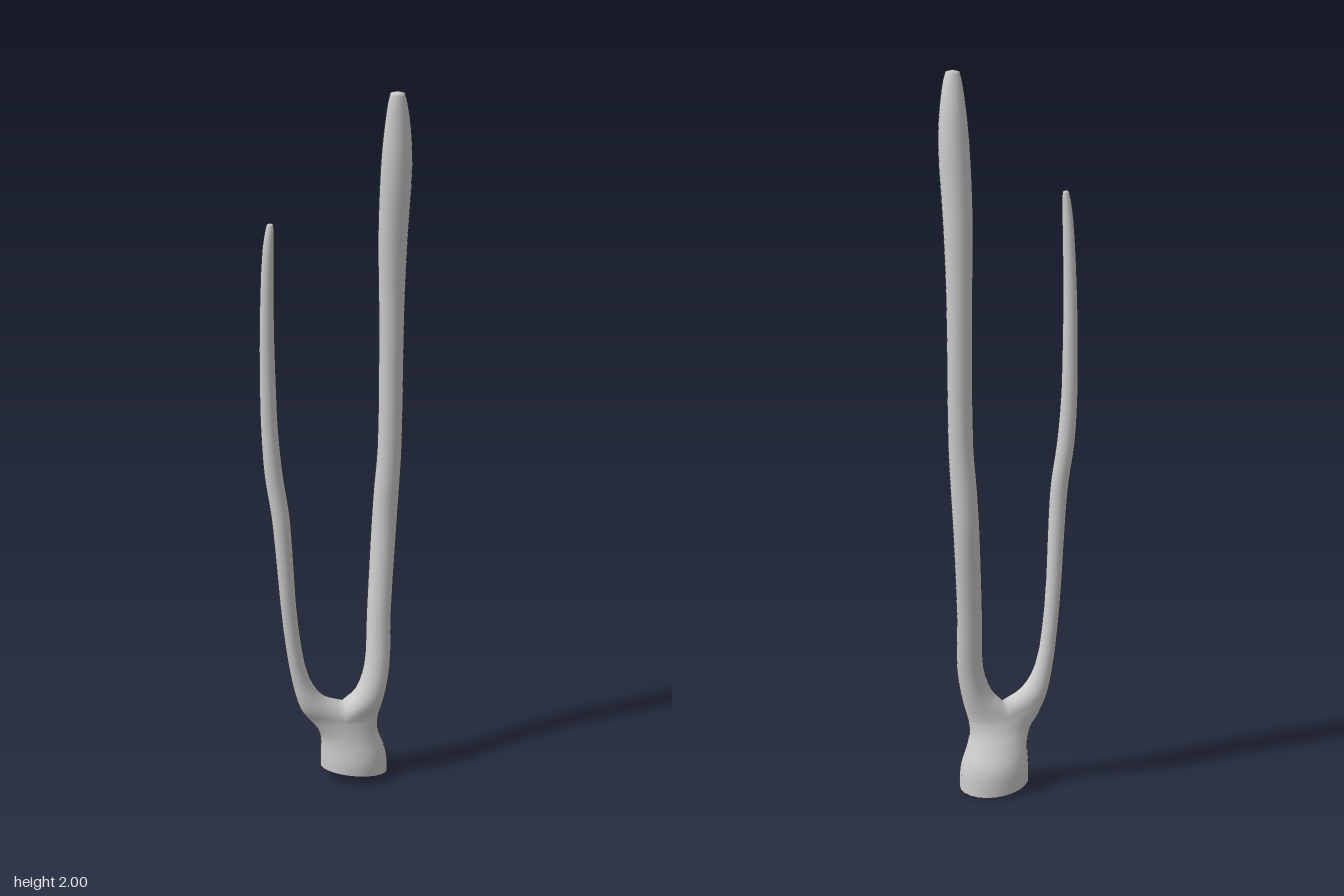
import * as THREE from 'three';
import { mergeVertices } from 'three/addons/utils/BufferGeometryUtils.js';

const SIDES = 24, STEPS = 3;
const DIR = [0.74, -0.67]; // horizontal fork direction (x, z), towards the long prong
const SPLIT = { y: 0.2, x: 0.005, z: -0.012, a: 0.106, b: 0.047, rise: 0.045 };

// Oval ring in the fork's own axes; flip = -1 turns it to face the short prong
function ring(y, x, z, a, b, flip = 1, tilt = () => 0) {
  return Array.from({ length: SIDES }, (_, j) => {
    const t = -Math.PI / 2 + (j / SIDES) * Math.PI * 2;
    const u = flip * a * Math.cos(t), v = flip * b * Math.sin(t);
    const px = x + DIR[0] * u - DIR[1] * v, pz = z + DIR[1] * u + DIR[0] * v;
    return new THREE.Vector3(px, y + tilt(pz, a * Math.cos(t)), pz);
  });
}

// Root of a prong: outer half of the trunk's top ring plus an arch over the crotch
function rootRing(flip) {
  const pts = ring(SPLIT.y, SPLIT.x, SPLIT.z, SPLIT.a, SPLIT.b, flip);
  for (let j = SIDES / 2 + 1; j < SIDES; j++) {
    const u = ((j - SIDES / 2) / SIDES) * Math.PI * 2;
    const v = flip * SPLIT.b * Math.cos(u);
    pts[j].set(SPLIT.x - DIR[1] * v, SPLIT.y + SPLIT.rise * Math.sin(u), SPLIT.z + DIR[0] * v);
  }
  return pts;
}

// Smooth loft through rings; appends triangles, returns the index range
function loft(rings, pos, idx, capped) {
  const start = idx.length, base = pos.length / 3;
  const rows = (rings.length - 1) * STEPS;
  const columns = rings[0].map((_, j) => new THREE.CatmullRomCurve3(rings.map((r) => r[j])));
  for (let i = 0; i <= rows; i++) {
    for (const c of columns) pos.push(...c.getPoint(i / rows).toArray());
  }
  for (let i = 0; i < rows; i++) {
    for (let j = 0; j < SIDES; j++) {
      const a = base + i * SIDES + j, b = base + i * SIDES + ((j + 1) % SIDES);
      idx.push(a, a + SIDES, b, b, a + SIDES, b + SIDES);
    }
  }
  if (capped) {
    const centre = new THREE.Vector3(), top = base + rows * SIDES;
    rings[rings.length - 1].forEach((p) => centre.addScaledVector(p, 1 / SIDES));
    const tip = pos.length / 3;
    pos.push(centre.x, centre.y + 0.004, centre.z);
    for (let j = 0; j < SIDES; j++) idx.push(top + j, tip, top + ((j + 1) % SIDES));
  }
  return [start, idx.length];
}

// Prong stations: y, x, z, radius, lean of the ring
const LONG = [
  [0.265, 0.066, -0.058, 0.042, 0.4], [0.35, 0.078, -0.079, 0.038, 0.1],
  [0.5, 0.068, -0.105, 0.036, 0], [0.75, 0.059, -0.145, 0.037, 0],
  [0.87, 0.064, -0.15, 0.037, 0], [1.0, 0.072, -0.152, 0.035, 0],
  [1.4, 0.075, -0.151, 0.036, 0], [1.6, 0.082, -0.142, 0.041, 0],
  [1.8, 0.098, -0.13, 0.043, 0], [1.9, 0.104, -0.123, 0.036, 0],
  [1.97, 0.108, -0.115, 0.026, 0], [1.996, 0.109, -0.112, 0.019, 0],
];
const SHORT = [
  [0.255, -0.058, 0.058, 0.035, 0.5], [0.33, -0.08, 0.083, 0.026, 0.2],
  [0.5, -0.093, 0.113, 0.023, 0], [0.75, -0.097, 0.14, 0.025, 0],
  [0.85, -0.102, 0.147, 0.026, 0], [0.97, -0.117, 0.156, 0.026, 0],
  [1.1, -0.124, 0.163, 0.024, 0], [1.2, -0.124, 0.168, 0.023, 0],
  [1.4, -0.12, 0.176, 0.02, 0], [1.6, -0.11, 0.181, 0.016, 0],
  [1.655, -0.106, 0.179, 0.012, 0], [1.673, -0.105, 0.178, 0.009, 0],
];

function prongRings(stations, flip) {
  return [rootRing(flip), ...stations.map(([y, x, z, r, lean]) =>
    ring(y, x, z, r, r, flip, (_, u) => -lean * u))];
}

export function createModel() {
  const group = new THREE.Group();
  group.name = 'forkedStem';
  const pos = [], idx = [];

  // Trunk: flared hollow foot with a slanted rim, waisted below the fork
  const trunk = [
    ring(0.018, 0.018, -0.05, 0.1, 0.092, 1, (z) => 0.2 * (z + 0.05)),
    ring(0.07, 0.017, -0.048, 0.098, 0.09),
    ring(0.13, 0.014, -0.035, 0.088, 0.068),
    ring(0.165, 0.011, -0.023, 0.091, 0.055),
    ring(SPLIT.y, SPLIT.x, SPLIT.z, SPLIT.a, SPLIT.b),
  ];
  const ranges = {
    trunk: loft(trunk, pos, idx, false),
    longProng: loft(prongRings(LONG, 1), pos, idx, true),
    shortProng: loft(prongRings(SHORT, -1), pos, idx, true),
  };

  // Weld the parts so the normals run smoothly across the fork
  let skin = new THREE.BufferGeometry();
  skin.setAttribute('position', new THREE.Float32BufferAttribute(pos, 3));
  skin.setIndex(idx);
  skin = mergeVertices(skin, 1e-5);
  skin.computeVertexNormals();

  const material = new THREE.MeshStandardMaterial({ color: 0xcccccc, side: THREE.DoubleSide });
  const welded = Array.from(skin.index.array);
  for (const [name, [from, to]] of Object.entries(ranges)) {
    const part = new THREE.BufferGeometry();
    part.setAttribute('position', skin.attributes.position);
    part.setAttribute('normal', skin.attributes.normal);
    part.setIndex(welded.slice(from, to));
    const mesh = new THREE.Mesh(part, material);
    mesh.name = name;
    group.add(mesh);
  }
  return group;
}
